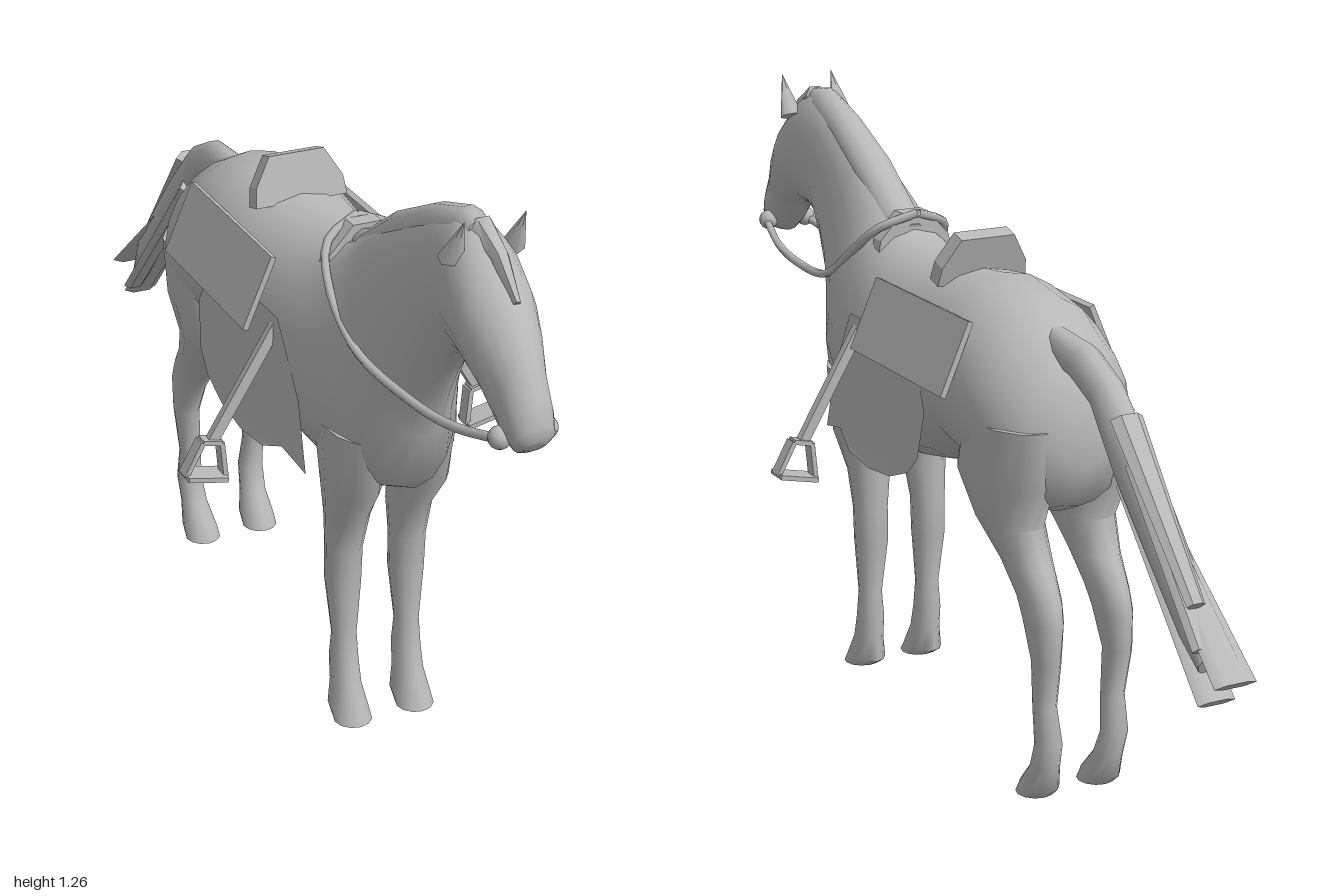
import * as THREE from 'three';
import { toCreasedNormals } from 'three/addons/utils/BufferGeometryUtils.js';

const grey = new THREE.MeshStandardMaterial({ color: 0xb8b8b8, side: THREE.DoubleSide });
grey.name = 'plain grey';

const V = (x, y, z) => new THREE.Vector3(x, y, z);

// Skin over elliptical rings: each is [topZ, topY, bottomZ, bottomY, halfWidth, centreX]
function loft(rings, seg = 16, crease = 1.0) {
  const pos = [], idx = [], n = rings.length;
  for (const [zt, yt, zb, yb, w, cx = 0] of rings) {
    for (let j = 0; j < seg; j++) {
      const a = (j / seg) * Math.PI * 2, s = Math.sin(a) / 2;
      pos.push(cx + w * Math.cos(a), (yt + yb) / 2 + (yt - yb) * s, (zt + zb) / 2 + (zt - zb) * s);
    }
  }
  for (let i = 0; i < n - 1; i++) {
    for (let j = 0; j < seg; j++) {
      const a = i * seg + j, b = i * seg + (j + 1) % seg;
      idx.push(a, b, b + seg, a, b + seg, a + seg);
    }
  }
  for (const i of [0, n - 1]) {
    const [zt, yt, zb, yb, , cx = 0] = rings[i], c = pos.length / 3;
    pos.push(cx, (yt + yb) / 2, (zt + zb) / 2);
    for (let j = 0; j < seg; j++) {
      const a = i * seg + j, b = i * seg + (j + 1) % seg;
      if (i) idx.push(a, b, c); else idx.push(b, a, c);
    }
  }
  const g = new THREE.BufferGeometry();
  g.setAttribute('position', new THREE.Float32BufferAttribute(pos, 3));
  g.setIndex(idx);
  return toCreasedNormals(g, crease);
}

// Straight bar with a rectangular section, w across and d along z
function bar(a, b, w, d) {
  const g = new THREE.BoxGeometry(w, a.distanceTo(b), d);
  const q = new THREE.Quaternion().setFromUnitVectors(V(0, 1, 0), b.clone().sub(a).normalize());
  g.applyQuaternion(q);
  const m = a.clone().add(b).multiplyScalar(0.5);
  return g.translate(m.x, m.y, m.z);
}

export function createModel() {
  const horse = new THREE.Group();
  horse.name = 'saddledHorse';
  const add = (name, geometry) => {
    const m = new THREE.Mesh(geometry, grey);
    m.name = name;
    horse.add(m);
    return m;
  };

  // Trunk, from rump to the base of the neck, then neck and head
  add('body', loft([
    [-0.45, 0.80, -0.455, 0.68, 0.05], [-0.42, 0.87, -0.43, 0.60, 0.115],
    [-0.34, 0.94, -0.36, 0.57, 0.16], [-0.26, 0.98, -0.24, 0.59, 0.175],
    [-0.13, 1.0, -0.12, 0.62, 0.178], [0, 0.985, 0, 0.575, 0.175],
    [0.11, 0.98, 0.12, 0.55, 0.172], [0.22, 0.99, 0.25, 0.53, 0.168],
    [0.28, 1.01, 0.40, 0.52, 0.155], [0.33, 1.035, 0.53, 0.58, 0.13],
    [0.39, 1.08, 0.57, 0.71, 0.105], [0.46, 1.125, 0.61, 0.80, 0.085],
    [0.55, 1.17, 0.65, 0.87, 0.072], [0.64, 1.21, 0.70, 0.94, 0.064],
    [0.72, 1.235, 0.74, 0.965, 0.068], [0.78, 1.215, 0.79, 0.972, 0.077],
    [0.84, 1.165, 0.845, 0.955, 0.075], [0.89, 1.115, 0.872, 0.935, 0.065],
    [0.95, 1.04, 0.90, 0.895, 0.05], [0.985, 0.98, 0.93, 0.875, 0.047],
    [1.0, 0.94, 0.96, 0.872, 0.04], [1.0, 0.915, 0.98, 0.885, 0.022],
  ], 20, 1.3));

  // Mane along the crest and forelock
  add('mane', loft([
    [0.27, 1.02, 0.29, 0.95, 0.03], [0.34, 1.05, 0.36, 0.99, 0.045],
    [0.46, 1.135, 0.48, 1.06, 0.045], [0.6, 1.205, 0.61, 1.13, 0.038],
    [0.71, 1.242, 0.71, 1.17, 0.036], [0.76, 1.235, 0.76, 1.18, 0.025],
  ], 10));
  add('forelock', loft([
    [0.76, 1.24, 0.74, 1.2, 0.025, 0.005], [0.83, 1.2, 0.81, 1.17, 0.018, 0.008],
    [0.89, 1.13, 0.87, 1.11, 0.008, 0.01],
  ], 6));

  // Tail root and loose locks, listed from tip to root
  add('tail', loft([
    [-0.92, 0.46, -0.90, 0.42, 0.025], [-0.88, 0.54, -0.84, 0.46, 0.032],
    [-0.78, 0.655, -0.73, 0.57, 0.035], [-0.66, 0.785, -0.60, 0.70, 0.036],
    [-0.55, 0.885, -0.51, 0.82, 0.035], [-0.46, 0.93, -0.44, 0.85, 0.035],
    [-0.34, 0.94, -0.36, 0.87, 0.03],
  ], 10));
  const locks = [
    [[-0.62, 0.83], [-0.89, 0.55], 0.035, 0.02, 0.02],
    [[-0.68, 0.70], [-0.995, 0.43], 0.028, 0.045, 0],
    [[-0.62, 0.70], [-0.935, 0.375], 0.03, 0.04, 0],
    [[-0.55, 0.79], [-0.87, 0.42], 0.025, 0.025, -0.04],
    [[-0.66, 0.75], [-0.93, 0.48], 0.02, 0.022, 0.03],
  ];
  for (const [[z0, y0], [z1, y1], w0, w1, x] of locks) {
    add('tailLock', loft([
      [z1 - 0.008, y1 + 0.008, z1 + 0.008, y1 - 0.008, w1, x],
      [z0 - 0.012, y0 + 0.012, z0 + 0.012, y0 - 0.012, w0, x * 0.5],
    ], 6, 0.5));
  }

  // Legs: [y, frontZ, backZ, centreX, halfWidth]
  const foreLeg = [
    [0.68, 0.51, 0.28, 0.075, 0.06], [0.54, 0.475, 0.32, 0.073, 0.056],
    [0.46, 0.42, 0.32, 0.068, 0.046], [0.38, 0.40, 0.32, 0.07, 0.038],
    [0.30, 0.395, 0.32, 0.07, 0.037], [0.18, 0.39, 0.34, 0.07, 0.026],
    [0.12, 0.40, 0.33, 0.07, 0.029], [0.07, 0.415, 0.335, 0.07, 0.03],
    [0.02, 0.443, 0.335, 0.07, 0.039], [0, 0.45, 0.37, 0.07, 0.04],
  ];
  const hindLeg = [
    [0.76, -0.18, -0.445, 0.085, 0.08], [0.64, -0.14, -0.437, 0.085, 0.077],
    [0.55, -0.205, -0.395, 0.08, 0.06], [0.48, -0.29, -0.435, 0.076, 0.045],
    [0.42, -0.345, -0.48, 0.076, 0.037], [0.38, -0.375, -0.49, 0.078, 0.035],
    [0.30, -0.415, -0.485, 0.08, 0.028], [0.20, -0.415, -0.465, 0.077, 0.024],
    [0.125, -0.425, -0.48, 0.075, 0.028], [0.07, -0.40, -0.467, 0.072, 0.029],
    [0.02, -0.357, -0.455, 0.07, 0.038], [0, -0.35, -0.43, 0.07, 0.039],
  ];

  for (const s of [1, -1]) {
    const side = s > 0 ? 'left' : 'right';
    const leg = (rows) => loft(rows.map(([y, f, b, x, w]) => [f, y, b, y, w, x * s]), 12);
    add(side + 'ForeLeg', leg(foreLeg));
    add(side + 'HindLeg', leg(hindLeg));

    // Ear
    const ear = add(side + 'Ear', new THREE.ConeGeometry(0.026, 0.1, 6).scale(1, 1, 0.75));
    ear.position.set(0.06 * s, 1.218, 0.79);
    ear.rotation.x = 0.5;

    // Bit ring and rein
    add(side + 'Bit', new THREE.SphereGeometry(0.022, 12, 8)).position.set(0.046 * s, 0.902, 0.94);
    const path = [[0.05, 0.9, 0.94], [0.075, 0.872, 0.82], [0.09, 0.86, 0.68], [0.108, 0.88, 0.48],
      [0.105, 0.955, 0.36], [0.075, 1.015, 0.29], [0, 1.045, 0.26]];
    const curve = new THREE.CatmullRomCurve3(path.map(([x, y, z]) => V(x * s, y, z)));
    add(side + 'Rein', new THREE.TubeGeometry(curve, 28, 0.009, 6));

    // Square saddle pad sloping outward
    const pad = bar(V(0.135 * s, 0.94, -0.035), V(0.197 * s, 0.795, -0.035), 0.012, 0.41);
    add(side + 'SaddlePad', pad);

    // Saddle flap hanging beside the belly
    const outline = [[0.34, 0.71], [0.38, 0.57], [0.29, 0.59], [0.22, 0.56], [0.12, 0.55], [0.02, 0.56],
      [-0.06, 0.59], [-0.1, 0.63], [-0.12, 0.73], [-0.06, 0.85], [0.25, 0.85]];
    const flap = new THREE.ShapeGeometry(new THREE.Shape(outline.map(([z, y]) => new THREE.Vector2(z, y))));
    const p = flap.attributes.position;
    for (let i = 0; i < p.count; i++) {
      const z = p.getX(i), y = p.getY(i);
      p.setXYZ(i, s * (0.17 + (0.85 - y) * 0.06 - Math.max(0, z - 0.2) * 0.14), y, z);
    }
    flap.computeVertexNormals();
    add(side + 'SaddleFlap', flap);

    // Stirrup strap and iron
    add(side + 'StirrupStrap', bar(V(0.155 * s, 0.825, 0.225), V(0.292 * s, 0.595, 0.22), 0.022, 0.018));
    const iron = [[0.275, 0.592], [0.315, 0.6], [0.352, 0.532], [0.268, 0.514]];
    iron.forEach(([x, y], i) => {
      const [x2, y2] = iron[(i + 1) % 4];
      add(side + 'StirrupIron', bar(V(x * s, y, 0.22), V(x2 * s, y2, 0.22), 0.01, i === 2 ? 0.055 : 0.03));
    });
  }

  // Raised back and front of the saddle
  const plate = (points, depth) => new THREE.ExtrudeGeometry(
    new THREE.Shape(points.map(([x, y]) => new THREE.Vector2(x, y))), { depth, bevelEnabled: false });
  const cantle = add('saddleCantle', plate([[-0.1, 0], [0.1, 0], [0.095, 0.04], [0.06, 0.1], [-0.06, 0.1], [-0.095, 0.04]], 0.036));
  cantle.position.set(0, 0.96, -0.03);
  cantle.rotation.x = -0.28;
  add('saddlePommel', plate([[-0.088, 0.94], [0.088, 0.94], [0.08, 0.99], [0.03, 1.045], [-0.03, 1.045], [-0.08, 0.99]], 0.036))
    .position.z = 0.272;

  return horse;
}
